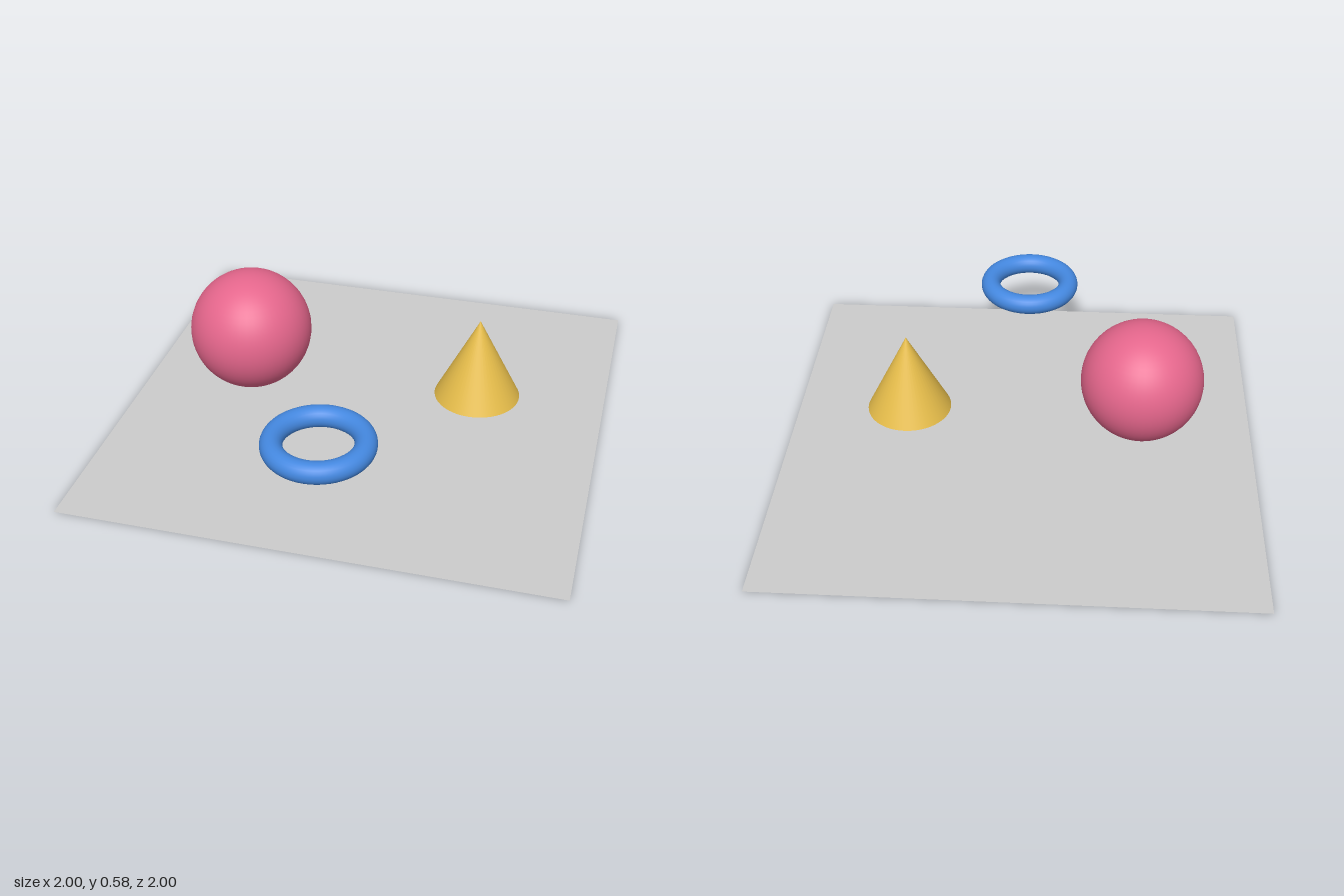
import * as THREE from 'three';

export function createModel() {
  const model = new THREE.Group();

  const add = (name, geometry, color, x, y, z, side = THREE.FrontSide) => {
    const mesh = new THREE.Mesh(geometry, new THREE.MeshStandardMaterial({ color, side }));
    mesh.name = name;
    mesh.position.set(x, y, z);
    model.add(mesh);
  };

  const height = 0.323; // shared centre height of the floating shapes

  // Thin square floor
  add('floor', new THREE.PlaneGeometry(2, 2).rotateX(-Math.PI / 2), 0xcccccc, 0, 0, 0, THREE.DoubleSide);

  // Three floating shapes
  add('sphere', new THREE.SphereGeometry(0.258, 48, 32), 0xe5668c, -0.512, height, 0);
  add('cone', new THREE.ConeGeometry(0.178, 0.355, 48), 0xe5bc4a, 0.479, height, 0);
  add('ring', new THREE.TorusGeometry(0.18, 0.044, 24, 64).rotateX(Math.PI / 2), 0x4488e0, 0, height, 0.735);

  return model;
}
